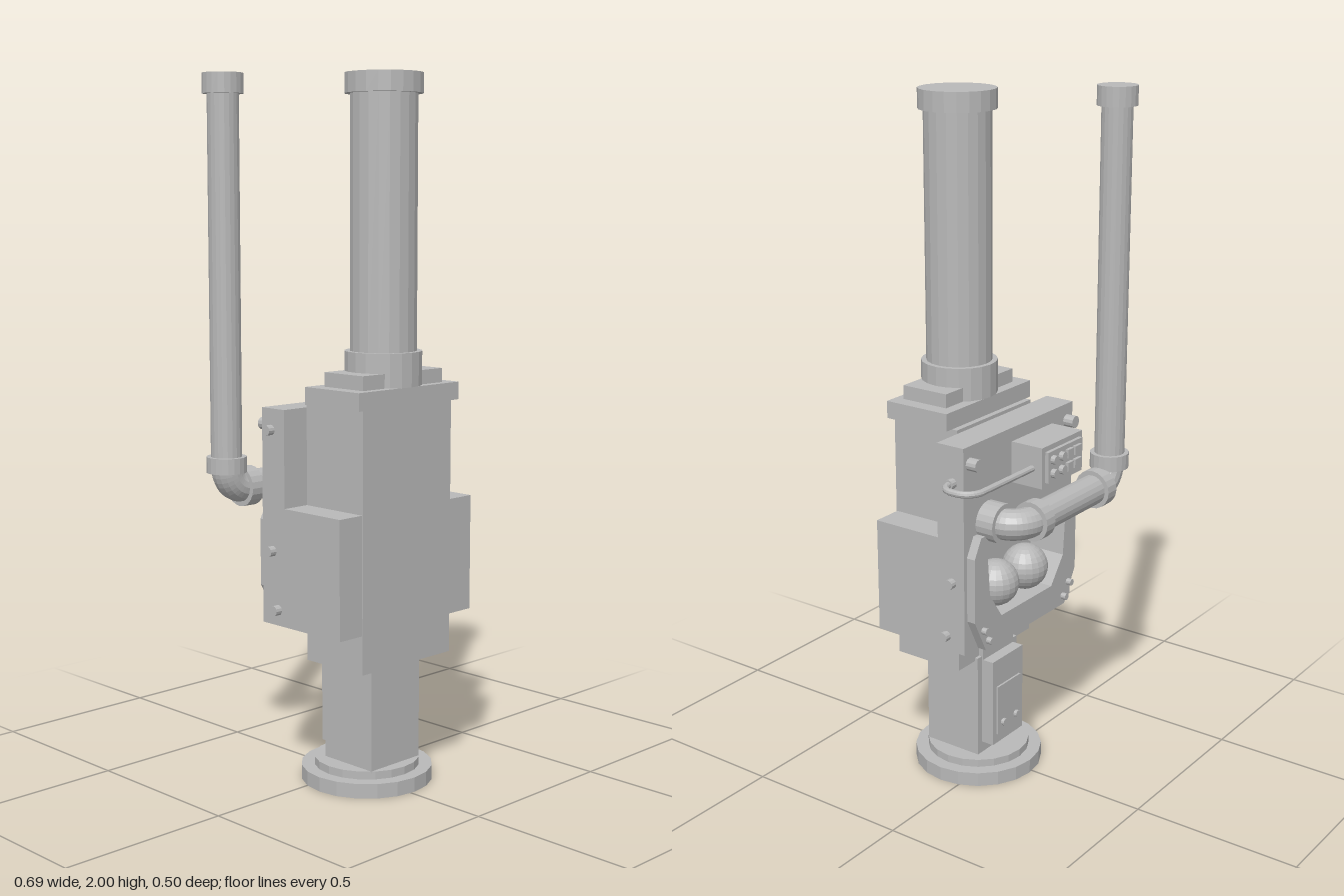
import * as THREE from 'three';

export function createModel() {
  const model = new THREE.Group();
  model.name = 'periscopeHousing';
  const grey = new THREE.MeshStandardMaterial({ color: 0xb8b8b8, flatShading: true });
  grey.name = 'light grey';
  const CX = 0.013; // centre line of the housing

  const add = (name, geo) => {
    const mesh = new THREE.Mesh(geo, grey);
    mesh.name = name;
    model.add(mesh);
    return mesh;
  };
  // box given by its limits on each axis
  const box = (name, x0, x1, y0, y1, z0, z1) =>
    add(name, new THREE.BoxGeometry(x1 - x0, y1 - y0, z1 - z0)
      .translate((x0 + x1) / 2, (y0 + y1) / 2, (z0 + z1) / 2));
  // cylinder between two points
  const rod = (name, a, b, r, sides = 20) => {
    const p = new THREE.Vector3(...a), q = new THREE.Vector3(...b);
    const d = q.clone().sub(p);
    const m = add(name, new THREE.CylinderGeometry(r, r, d.length(), sides));
    m.quaternion.setFromUnitVectors(new THREE.Vector3(0, 1, 0), d.clone().normalize());
    m.position.copy(p).add(q).multiplyScalar(0.5);
  };
  // quarter bend from a to b around the corner c
  const bend = (a, c, b) => {
    const A = new THREE.Vector3(...a), B = new THREE.Vector3(...b), C = new THREE.Vector3(...c);
    return new THREE.CubicBezierCurve3(A, A.clone().lerp(C, 0.55), B.clone().lerp(C, 0.55), B);
  };
  const outline = (pts, Type = THREE.Shape) => new Type(pts.map(p => new THREE.Vector2(...p)));
  // plate with the window cut out, from z0 to z1
  const windowPoints = [[-0.11, 0.56], [0.14, 0.56], [0.195, 0.64], [0.205, 0.76],
    [0.175, 0.8], [-0.15, 0.8], [-0.18, 0.76], [-0.17, 0.64]];
  const windowPlate = (name, pts, z0, z1) => {
    const s = outline(pts);
    s.holes.push(outline(windowPoints, THREE.Path));
    add(name, new THREE.ExtrudeGeometry(s, { depth: z1 - z0, bevelEnabled: false }).translate(0, 0, z0));
  };

  // foot and square column
  rod('baseDisc', [CX, 0, 0.06], [CX, 0.042, 0.06], 0.19);
  rod('baseStep', [CX, 0.042, 0.06], [CX, 0.065, 0.06], 0.152);
  box('column', -0.085, 0.11, 0.06, 0.38, -0.01, 0.175);
  box('columnBackStrip', -0.06, 0.09, 0.1, 0.43, -0.015, 0.001);
  box('columnPanel', -0.06, 0.09, 0.1, 0.37, -0.05, -0.01);
  box('columnDoor', -0.042, 0.072, 0.13, 0.285, -0.056, -0.05);
  for (const x of [-0.017, 0.047]) rod('doorBolt', [x, 0.163, -0.056], [x, 0.163, -0.066], 0.011, 12);

  // main body with window cavity at the back
  box('bodyCore', -0.165, 0.187, 0.37, 1.1, 0, 0.22);
  box('bodyShoulders', -0.25, 0.278, 0.48, 0.815, 0, 0.2175);
  windowPlate('backBody', [[-0.25, 0.48], [0.278, 0.48], [0.278, 1.09], [-0.25, 1.09]], -0.09, 0);
  windowPlate('windowFrame', [[-0.18, 0.48], [0.215, 0.48], [0.265, 0.58], [0.265, 0.77],
    [0.235, 0.825], [-0.205, 0.825], [-0.235, 0.77], [-0.235, 0.58]], -0.117, -0.09);
  for (const x of [-0.06, 0.085]) {
    add('windowSphere', new THREE.SphereGeometry(0.068, 20, 14)).position.set(x, 0.628, -0.057);
  }

  // bolts on the back and both sides
  for (const x of [-0.22, 0.25]) rod('backBolt', [x, 1.04, -0.09], [x, 1.04, -0.122], 0.018, 12);
  for (const [x, y] of [[-0.17, 0.508], [0.205, 0.508], [-0.197, 0.545], [0.227, 0.545]])
    rod('frameBolt', [x, y, -0.117], [x, y, -0.133], 0.01, 12);
  for (const [x, out] of [[-0.25, -0.27], [0.278, 0.297]]) {
    for (const [y, z] of [[x < 0 ? 1.03 : 0.985, -0.053], [0.69, -0.048], [0.525, -0.027]])
      rod('sideBolt', [x, y, z], [out, y, z], 0.0145, 12);
  }

  // roof plates and main tube
  box('roofPlate', -0.187, 0.212, 1.1, 1.15, 0.017, 0.226);
  box('roofStep', -0.145, 0.17, 1.15, 1.19, 0.05, 0.2);
  rod('mainTubeCollar', [CX, 1.15, 0.122], [CX, 1.245, 0.122], 0.109);
  rod('mainTube', [CX, 1.2, 0.122], [CX, 1.96, 0.122], 0.094);
  rod('mainTubeCap', [CX, 1.945, 0.122], [CX, 2, 0.122], 0.109);

  // side pipe: out of the back, across and up
  const py = 0.853, pz = -0.195, px = -0.291, pr = 0.044, cr = 0.057;
  rod('pipeOutlet', [0.168, py, -0.085], [0.168, py, -0.146], cr);
  add('outletElbow', new THREE.TubeGeometry(
    bend([0.168, py, -0.14], [0.168, py, pz], [0.105, py, pz]), 10, pr, 16));
  rod('crossPipe', [0.11, py, pz], [-0.24, py, pz], pr);
  rod('pipeCollar', [0.113, py, pz], [0.073, py, pz], cr);
  rod('pipeCollar', [-0.2, py, pz], [-0.243, py, pz], cr);
  add('risingElbow', new THREE.TubeGeometry(
    bend([-0.235, py, pz], [px, py, pz], [px, 0.915, pz]), 10, pr, 16));
  rod('pipeCollar', [px, 0.9, pz], [px, 0.945, pz], cr);
  rod('risingPipe', [px, 0.91, pz], [px, 1.96, pz], pr);
  rod('risingPipeCap', [px, 1.945, pz], [px, 2, pz], cr);

  // control box with buttons and knobs
  box('controlBox', -0.145, 0.055, 0.93, 1.05, -0.193, -0.09);
  box('controlPanel', -0.13, 0.04, 0.945, 1.035, -0.204, -0.193);
  for (const [x0, x1] of [[-0.115, -0.08], [-0.072, -0.045]]) {
    box('button', x0, x1, 0.997, 1.022, -0.214, -0.204);
    box('button', x0, x1, 0.958, 0.983, -0.214, -0.204);
  }
  for (const x of [-0.022, 0.018])
    for (const y of [0.97, 1.01]) rod('knob', [x, y, -0.204], [x, y, -0.218], 0.013, 12);

  // cable from the control box round to the side
  const hy = 0.985;
  const cable = new THREE.CurvePath();
  const v = (x, z) => new THREE.Vector3(x, hy, z);
  cable.add(new THREE.LineCurve3(v(0.05, -0.16), v(0.285, -0.16)));
  cable.add(bend([0.285, hy, -0.16], [0.337, hy, -0.16], [0.337, hy, -0.108]));
  cable.add(new THREE.LineCurve3(v(0.337, -0.108), v(0.337, -0.095)));
  cable.add(bend([0.337, hy, -0.095], [0.337, hy, -0.052], [0.29, hy, -0.052]));
  add('cable', new THREE.TubeGeometry(cable, 48, 0.0095, 10));

  return model;
}
